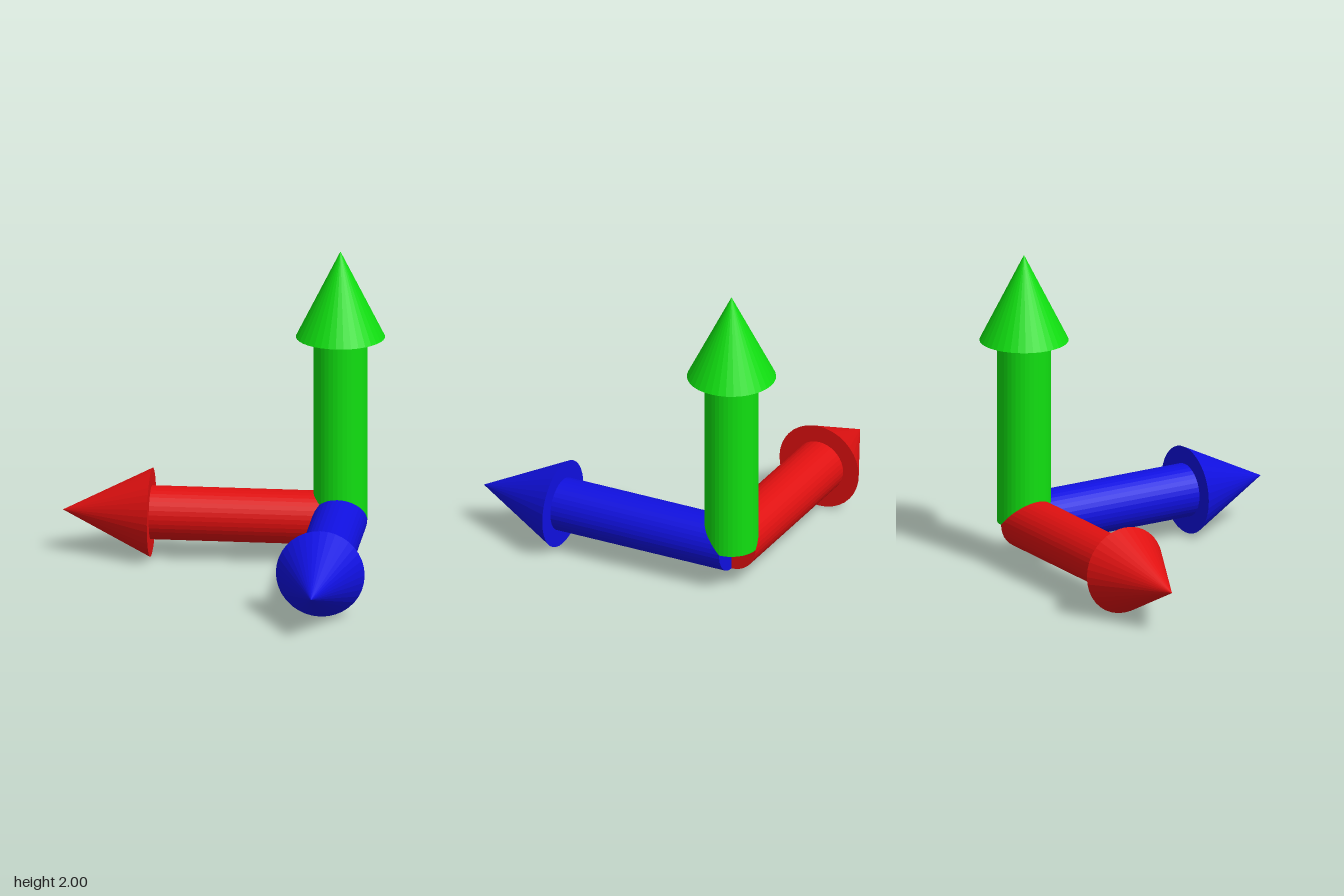
import * as THREE from 'three';

const SHAFT_RADIUS = 0.167;
const SHAFT_LENGTH = 1.174;
const HEAD_RADIUS = 0.276;
const HEAD_LENGTH = 0.55;
const SIDES = 36;

// An arrow that starts at its group's origin and points up +y
function createArrow(name, color) {
  const material = new THREE.MeshStandardMaterial({ color, flatShading: true });
  const arrow = new THREE.Group();
  arrow.name = name;

  const shaft = new THREE.Mesh(
    new THREE.CylinderGeometry(SHAFT_RADIUS, SHAFT_RADIUS, SHAFT_LENGTH, SIDES), material);
  shaft.name = name + 'Shaft';
  shaft.position.y = SHAFT_LENGTH / 2;

  const head = new THREE.Mesh(
    new THREE.ConeGeometry(HEAD_RADIUS, HEAD_LENGTH, SIDES), material);
  head.name = name + 'Head';
  head.position.y = SHAFT_LENGTH + HEAD_LENGTH / 2;

  arrow.add(shaft, head);
  return arrow;
}

export function createModel() {
  const model = new THREE.Group();
  model.name = 'axisArrows';

  // Upright arrow, arrow to the model's right (-x), arrow to the front (+z)
  const up = createArrow('upArrow', 0x10e010);
  const side = createArrow('sideArrow', 0xe01010);
  side.rotation.z = Math.PI / 2;
  const front = createArrow('frontArrow', 0x1010e0);
  front.rotation.x = Math.PI / 2;

  // All three meet at one corner
  for (const arrow of [up, side, front]) {
    arrow.position.set(1 - HEAD_RADIUS, HEAD_RADIUS, HEAD_RADIUS - 1);
    model.add(arrow);
  }
  return model;
}
